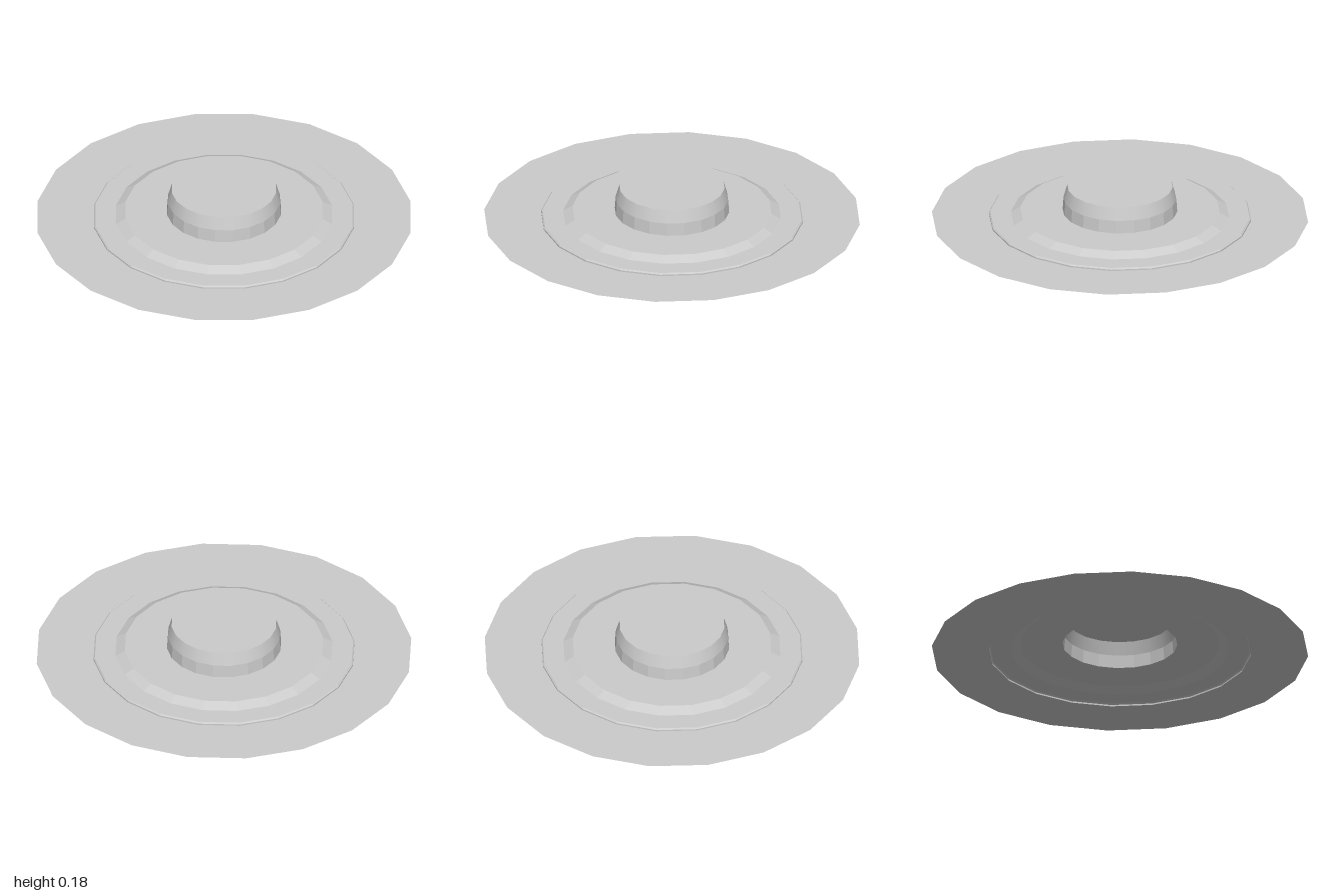
import * as THREE from 'three';

const SIDES = 20;

// One thin revolved band between profile points [radius, y]
function band(name, points, faceted) {
  const profile = points.map(([r, y]) => new THREE.Vector2(r, y));
  const material = new THREE.MeshStandardMaterial({
    color: 0xcccccc, flatShading: faceted, side: THREE.DoubleSide,
  });
  const mesh = new THREE.Mesh(new THREE.LatheGeometry(profile, SIDES), material);
  mesh.name = name;
  return mesh;
}

export function createModel() {
  const group = new THREE.Group();
  group.name = 'steppedDisc';
  group.add(
    // Wide flat flange and its small raised lip
    band('flange', [[1, 0], [0.697, 0]], true),
    band('lip', [[0.697, 0], [0.697, 0.008], [0.69, 0.015]], true),
    // Two flat terraces joined by a slope
    band('lowerTerrace', [[0.69, 0.015], [0.58, 0.015]], true),
    band('slope', [[0.58, 0.015], [0.53, 0.042]], true),
    band('upperTerrace', [[0.53, 0.042], [0.305, 0.042]], true),
    // Hollow central hub, open below
    band('hubBase', [[0.305, 0.042], [0.3, 0.112]], true),
    band('hubTaper', [[0.3, 0.112], [0.28, 0.182]], false),
  );
  const cap = new THREE.Mesh(
    new THREE.CircleGeometry(0.28, SIDES).rotateX(-Math.PI / 2),
    new THREE.MeshStandardMaterial({ color: 0xcccccc, side: THREE.DoubleSide }),
  );
  cap.name = 'hubCap';
  cap.position.y = 0.182;
  group.add(cap);
  return group;
}
